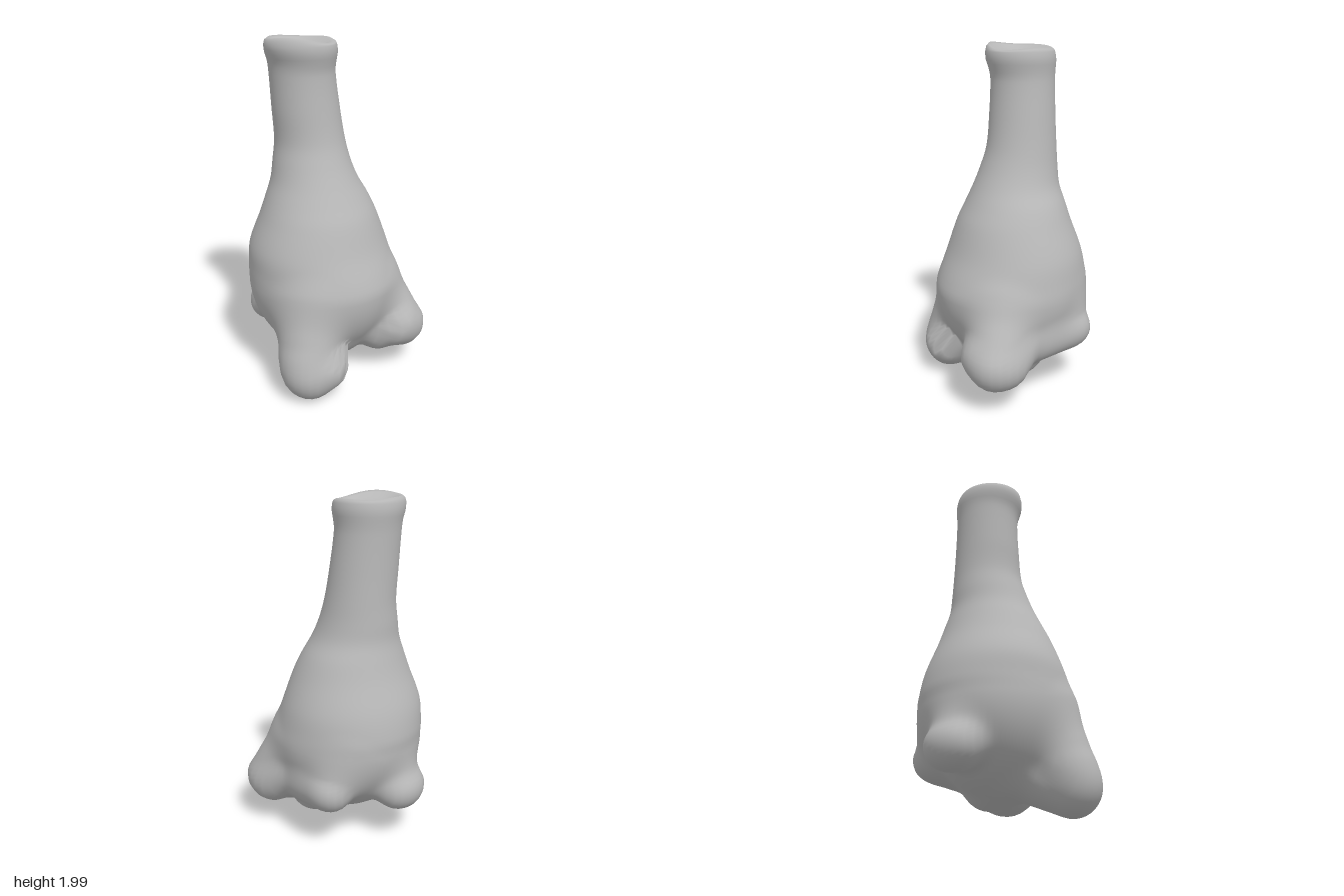
import * as THREE from 'three';
import { mergeVertices } from 'three/addons/utils/BufferGeometryUtils.js';

// Body extents by height: y, x min, x max, z min, z max
const ROWS = [
  [0.6, -0.45, 0.418, -0.435, 0.455], [0.68, -0.447, 0.408, -0.437, 0.435],
  [0.82, -0.436, 0.38, -0.41, 0.375], [1.0, -0.37, 0.312, -0.345, 0.312], [1.1, -0.33, 0.268, -0.315, 0.262],
  [1.2, -0.29, 0.212, -0.29, 0.212], [1.3, -0.265, 0.18, -0.285, 0.168], [1.42, -0.243, 0.158, -0.28, 0.128],
  [1.6, -0.25, 0.135, -0.28, 0.1], [1.8, -0.258, 0.113, -0.285, 0.083], [1.86, -0.266, 0.115, -0.29, 0.093],
  [1.91, -0.284, 0.12, -0.295, 0.105], [1.96, -0.292, 0.112, -0.288, 0.102],
];
const BELLY_Y = ROWS[0][0];

// Tapered stumps and swellings: root, root radius, tip, tip radius
const STUMPS = [
  // Front right foot: upper root, underside web, broad toe
  { a: [-0.2, 0.54, 0.15], ra: 0.225, b: [-0.325, 0.19, 0.27], rb: 0.157 },
  { a: [-0.1, 0.3, 0.1], ra: 0.175, b: [-0.315, 0.158, 0.28], rb: 0.15 },
  { a: [-0.32, 0.24, 0.25], ra: 0.155, b: [-0.25, 0.2, 0.32], rb: 0.14 },
  // Front left foot: upper root, inner and side lobes
  { a: [0.18, 0.52, 0.17], ra: 0.225, b: [0.335, 0.29, 0.32], rb: 0.15 },
  { a: [0.22, 0.3, 0.26], ra: 0.17, b: [0.27, 0.32, 0.335], rb: 0.148 },
  { a: [0.3, 0.36, 0.17], ra: 0.14, b: [0.345, 0.285, 0.27], rb: 0.14 },
  // Back knob
  { a: [-0.08, 0.5, -0.2], ra: 0.195, b: [-0.14, 0.33, -0.345], rb: 0.13 },
  { a: [-0.18, 0.335, -0.325], ra: 0.122, b: [-0.095, 0.335, -0.355], rb: 0.122 },
  // Back left knob and the ridge running forward from it
  { a: [0.14, 0.52, -0.16], ra: 0.23, b: [0.275, 0.375, -0.22], rb: 0.122 },
  { a: [0.26, 0.34, 0.22], ra: 0.145, b: [0.27, 0.37, -0.16], rb: 0.13 },
  // Underside swelling
  { a: [0.0, 0.29, 0.13], ra: 0.16, b: [0.17, 0.265, 0.08], rb: 0.155 },
].map((s) => ({ ...s, a: new THREE.Vector3(...s.a), b: new THREE.Vector3(...s.b) }));

// Slope of a column between neighbouring rows, level at the belly
function slope(i, k) {
  if (i === 0) return 0;
  const lo = ROWS[i - 1], hi = ROWS[Math.min(i + 1, ROWS.length - 1)];
  return (hi[k] - lo[k]) / (hi[0] - lo[0]);
}

// Centre and radii of the body at a height, eased smoothly between rows
function section(y) {
  let i = 0;
  while (i < ROWS.length - 2 && y > ROWS[i + 1][0]) i++;
  const span = ROWS[i + 1][0] - ROWS[i][0];
  const t = THREE.MathUtils.clamp((y - ROWS[i][0]) / span, 0, 1);
  const [x0, x1, z0, z1] = [1, 2, 3, 4].map((k) =>
    ROWS[i][k] * (1 + 2 * t) * (1 - t) ** 2 + ROWS[i + 1][k] * t * t * (3 - 2 * t)
    + span * (slope(i, k) * t * (1 - t) ** 2 + slope(i + 1, k) * t * t * (t - 1)));
  return { cx: (x0 + x1) / 2, cz: (z0 + z1) / 2, rx: (x1 - x0) / 2, rz: (z1 - z0) / 2 };
}

function smoothMin(a, b, k) {
  const h = Math.max(k - Math.abs(a - b), 0) / k;
  return Math.min(a, b) - h * h * k * 0.25;
}

// Distance to the union of stumps, each a tapered capsule
function stumpField(p) {
  let d = Infinity;
  for (const { a, ra, b, rb } of STUMPS) {
    const ab = b.clone().sub(a);
    const t = THREE.MathUtils.clamp(p.clone().sub(a).dot(ab) / ab.lengthSq(), 0, 1);
    const cap = p.distanceTo(a.clone().addScaledVector(ab, t)) - THREE.MathUtils.lerp(ra, rb, t);
    d = d === Infinity ? cap : smoothMin(d, cap, 0.025);
  }
  return d;
}

// Signed field: bottle body blended with the stumps
function field(p) {
  const s = section(p.y);
  const depth = 0.465 - 0.1 * Math.max(-p.z, 0);
  const dy = Math.min(p.y - BELLY_Y, 0) / depth;
  const body = (Math.hypot((p.x - s.cx) / s.rx, (p.z - s.cz) / s.rz, dy) - 1) * Math.min(s.rx, s.rz);
  return smoothMin(body, stumpField(p), 0.07);
}

// Outermost surface point along a ray
function surfacePoint(origin, dir) {
  const at = (t) => origin.clone().addScaledVector(dir, t);
  let hi = 0.9;
  while (hi > 0.03 && field(at(hi - 0.02)) > 0) hi -= 0.02;
  let lo = hi - 0.02;
  for (let i = 0; i < 10; i++) {
    const mid = (lo + hi) / 2;
    if (field(at(mid)) > 0) hi = mid; else lo = mid;
  }
  return at(lo);
}

function vesselGeometry() {
  const N = 80, LOW = 44, HIGH = 60, TOP = 1.95;
  const rings = [];
  const addRing = (fn) => rings.push(Array.from({ length: N }, (_, i) => fn((i / N) * Math.PI * 2)));
  const centre = (y) => { const s = section(y); return new THREE.Vector3(s.cx, y, s.cz); };

  // Underside and stumps: rays fanning out from the belly centre
  for (let j = 0; j < LOW; j++) {
    const e = (j / LOW - 1) * Math.PI / 2, c = j ? Math.cos(e) : 0;
    addRing((a) => surfacePoint(centre(BELLY_Y), new THREE.Vector3(c * Math.cos(a), Math.sin(e), c * Math.sin(a))));
  }
  // Belly, shoulder and neck: level rays from the leaning axis
  for (let j = 0; j <= HIGH; j++) {
    const y = THREE.MathUtils.lerp(BELLY_Y, TOP, j / HIGH);
    addRing((a) => surfacePoint(centre(y), new THREE.Vector3(Math.cos(a), 0, Math.sin(a))));
  }
  // Uneven rim turning in to a shallow dished mouth
  const edge = rings[rings.length - 1], mid = centre(TOP);
  const wave = (a) => 0.006 * Math.sin(2 * a + 2.6) - 0.012 * Math.cos(a) + 0.005 * Math.sin(3 * a + 1);
  for (const [scale, lift, w] of [[0.97, 0.018, 0.7], [0.9, 0.029, 1], [0.8, 0.022, 0.9], [0.6, 0.005, 0.5], [0.3, -0.008, 0.3], [0, -0.01, 0]]) {
    let i = 0;
    addRing((a) => {
      const p = mid.clone().lerp(edge[i++], scale);
      p.y += lift + w * wave(a);
      return p;
    });
  }

  const index = [];
  for (let j = 0; j < rings.length - 1; j++) {
    for (let i = 0; i < N; i++) {
      const k = (i + 1) % N, a = j * N + i, b = j * N + k, c = a + N, d = b + N;
      if (j === 0) index.push(a, c, d);
      else if (j === rings.length - 2) index.push(a, c, b);
      else index.push(a, c, b, c, d, b);
    }
  }
  const geo = new THREE.BufferGeometry().setFromPoints(rings.flat());
  geo.setIndex(index);
  const merged = mergeVertices(geo, 1e-5);
  merged.computeVertexNormals();
  return merged;
}

export function createModel() {
  const stone = new THREE.MeshStandardMaterial({ color: 0xb8b8b8 });
  stone.name = 'plain grey';
  const group = new THREE.Group();
  group.name = 'footedVessel';
  const vessel = new THREE.Mesh(vesselGeometry(), stone);
  vessel.name = 'vesselBody';
  group.add(vessel);
  return group;
}
